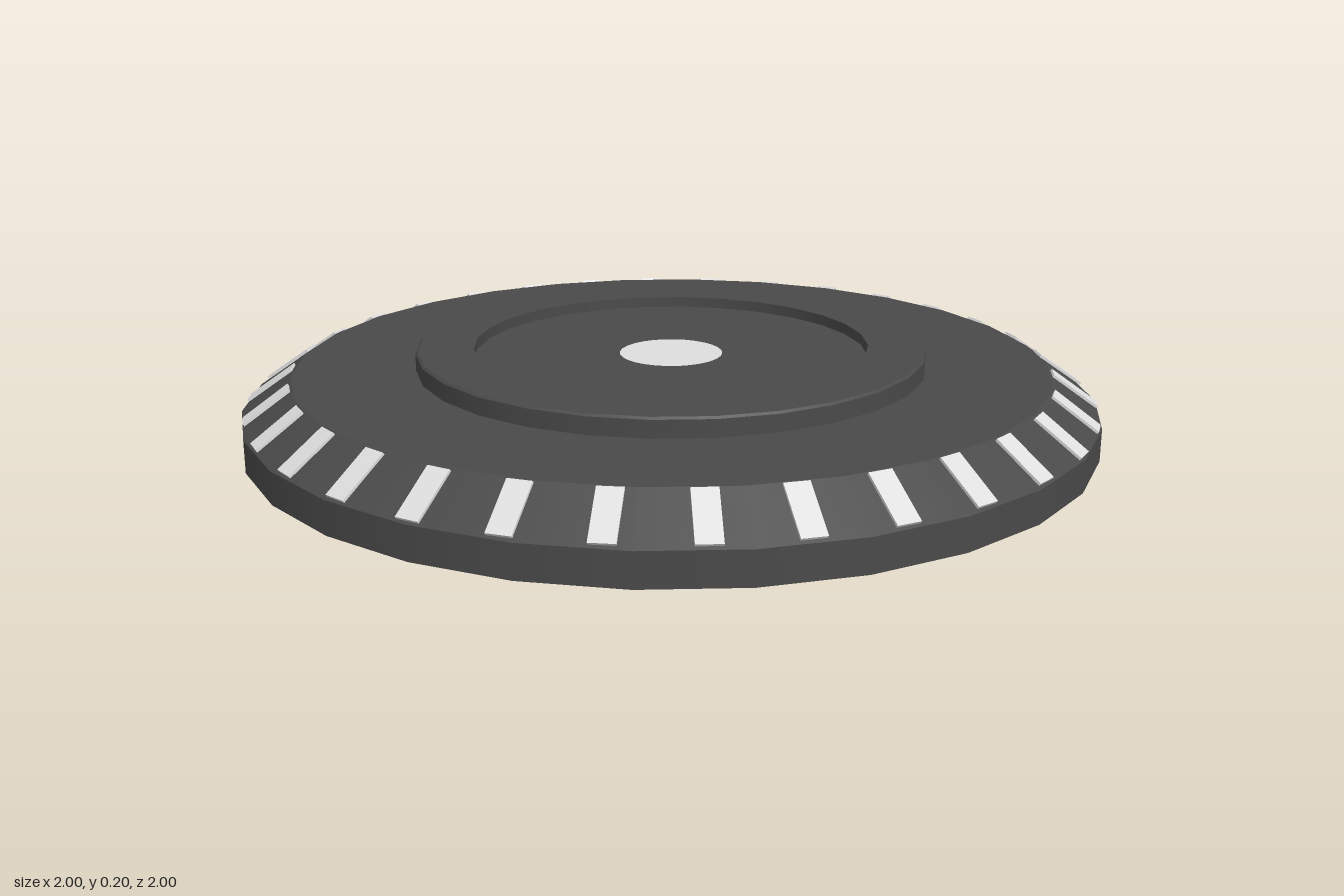
import * as THREE from 'three';

const SIDES = 28;
const STRIPES = 32;

export function createModel() {
  const model = new THREE.Group();
  const dark = new THREE.MeshStandardMaterial({ color: 0x4a4a4a, side: THREE.DoubleSide });
  dark.name = 'dark grey';
  const light = new THREE.MeshStandardMaterial({ color: 0xdedede, side: THREE.DoubleSide });
  light.name = 'light grey';

  // Thin open shell: one band per part, so the edges between bands stay sharp
  const band = (name, r0, y0, r1, y1, material = dark) => {
    const profile = [new THREE.Vector2(r0, y0), new THREE.Vector2(r1, y1)];
    const mesh = new THREE.Mesh(new THREE.LatheGeometry(profile, SIDES), material);
    mesh.name = name;
    model.add(mesh);
  };
  band('rimWall', 1, 0, 1, 0.075);
  band('rimBevel', 1, 0.075, 0.885, 0.155);
  band('deck', 0.885, 0.155, 0.6, 0.155);
  band('ringOuterWall', 0.6, 0.155, 0.6, 0.195);
  band('ringEdge', 0.6, 0.195, 0.595, 0.2);
  band('ringTop', 0.595, 0.2, 0.465, 0.2);
  band('ringInnerWall', 0.465, 0.2, 0.465, 0.174);
  band('recessFloor', 0.465, 0.174, 0.122, 0.174);
  band('centreDisc', 0.122, 0.174, 0, 0.174, light);

  // Light stripes lying on the bevel, following its flat sides
  const slope = Math.atan2(0.08, 0.115);
  const lift = 0.005;
  const stripeGeometry = new THREE.BoxGeometry(0.054, 0.006, 0.126);
  const step = (2 * Math.PI) / SIDES;
  const stripes = new THREE.Group();
  stripes.name = 'rimStripes';
  for (let i = 0; i < STRIPES; i++) {
    const angle = (i / STRIPES) * 2 * Math.PI;
    const fromMiddle = (angle % step) - step / 2;
    const radius = 0.9425 * Math.cos(step / 2) / Math.cos(fromMiddle);
    const stripe = new THREE.Mesh(stripeGeometry, light);
    stripe.name = 'stripe';
    stripe.position.set(0, 0.115 + lift * Math.cos(slope), radius + lift * Math.sin(slope));
    stripe.rotation.x = slope;
    const spoke = new THREE.Group();
    spoke.name = 'stripeMount';
    spoke.rotation.y = angle;
    spoke.add(stripe);
    stripes.add(spoke);
  }
  model.add(stripes);
  return model;
}
